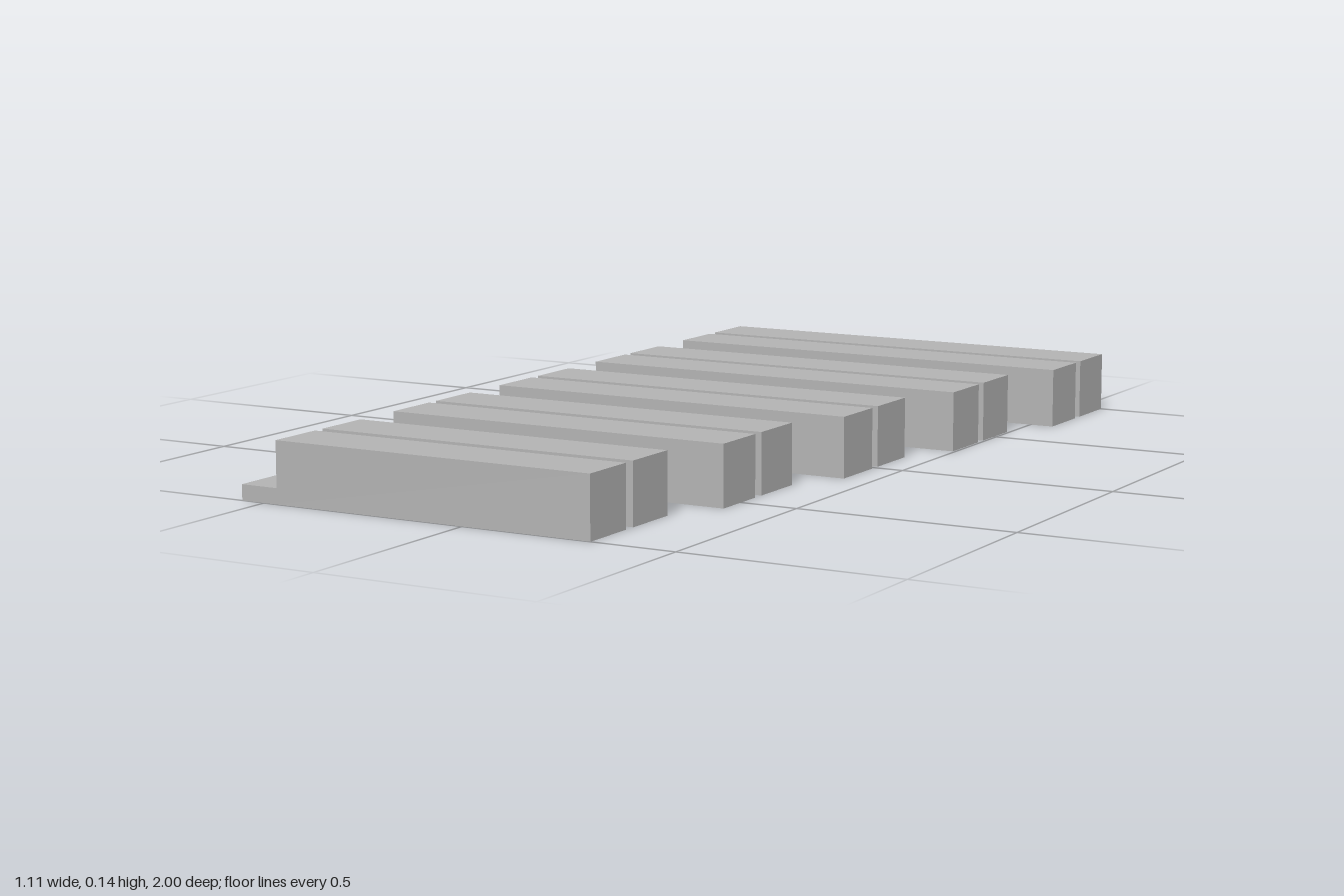
import * as THREE from 'three';

export function createModel() {
  const model = new THREE.Group();
  const grey = new THREE.MeshStandardMaterial({ color: 0xb2b2b2 });
  grey.name = 'plain grey';

  // Box given by its minimum and maximum in x and z, standing on the ground
  function addBlock(name, x0, x1, height, z0, z1) {
    const mesh = new THREE.Mesh(new THREE.BoxGeometry(x1 - x0, height, z1 - z0), grey);
    mesh.position.set((x0 + x1) / 2, height / 2, (z0 + z1) / 2);
    mesh.name = name;
    model.add(mesh);
  }

  // Thin strip that joins all the bars along the right side
  addBlock('baseStrip', -0.557, -0.455, 0.035, -1, 1);

  // Five pairs of bars, getting shorter towards the front
  const barWidth = 0.137, barStep = 0.1643, pairStep = 0.4247;
  for (let pair = 0; pair < 5; pair++) {
    const end = 0.557 - pair * 0.063;
    for (let i = 0; i < 2; i++) {
      const z = -1 + pair * pairStep + i * barStep;
      addBlock(`bar${pair * 2 + i + 1}`, -0.466, end, 0.137, z, z + barWidth);
    }
  }
  return model;
}
